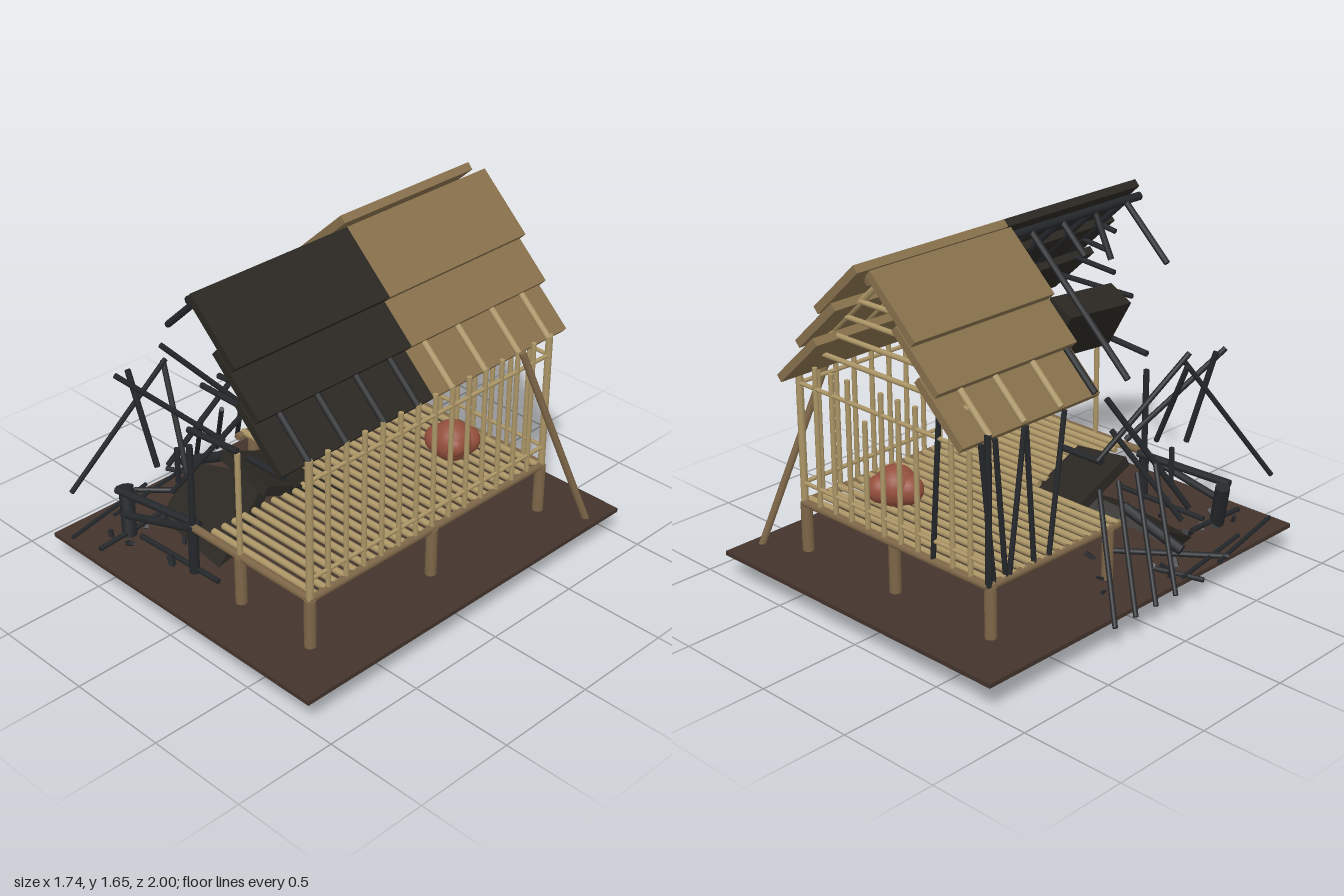
import * as THREE from 'three';

const mat = (color) => new THREE.MeshStandardMaterial({ color });
const M = {
  bamboo: mat(0xab9566), wood: mat(0x7d6648), thatch: mat(0x87704c), soil: mat(0x43342d),
  char: mat(0x24272a), burntThatch: mat(0x2a2722), clay: mat(0x95503d),
};
const UP = new THREE.Vector3(0, 1, 0);

export function createModel() {
  const root = new THREE.Group();
  const group = (name) => {
    const g = new THREE.Group();
    g.name = name;
    root.add(g);
    return g;
  };
  // Round pole between two points
  const pole = (parent, name, a, b, r, material) => {
    const p = new THREE.Vector3(...a), q = new THREE.Vector3(...b), d = q.clone().sub(p);
    const m = new THREE.Mesh(new THREE.CylinderGeometry(r, r, d.length(), 10), material);
    m.name = name;
    m.position.copy(p).add(q).multiplyScalar(0.5);
    m.quaternion.setFromUnitVectors(UP, d.normalize());
    parent.add(m);
  };
  const box = (parent, name, size, pos, rot, material) => {
    const m = new THREE.Mesh(new THREE.BoxGeometry(...size), material);
    m.name = name;
    m.position.set(...pos);
    m.rotation.set(...rot);
    parent.add(m);
  };
  const XR = 0.61, XL = -0.55, ZF = 0.74, ZB = -0.74;

  box(root, 'ground', [1.68, 0.02, 2], [0.03, 0.13, 0], [0, 0, 0], M.soil);

  // Stilts and floor frame
  const stilts = group('stilts');
  for (const [x, z] of [[XR, ZF], [XR, 0], [XR, -0.73], [0.18, ZF], [0.03, -0.73], [XL, -0.73], [XL, 0]])
    pole(stilts, 'stilt', [x, 0.12, z], [x, 0.38, z], 0.027, M.wood);
  const floor = group('floor');
  pole(floor, 'rightBeam', [XR, 0.38, ZB], [XR, 0.38, 0.75], 0.019, M.wood);
  pole(floor, 'leftBeam', [XL, 0.38, ZB], [XL, 0.38, 0.1], 0.019, M.wood);
  pole(floor, 'backBeam', [XL, 0.38, ZB], [XR, 0.38, ZB], 0.019, M.wood);
  pole(floor, 'frontBeam', [-0.13, 0.38, ZF], [XR, 0.38, ZF], 0.019, M.wood);
  // Slats, burnt short at the front left
  for (let i = 0; i < 25; i++) {
    const z = -0.71 + i * 0.059;
    pole(floor, 'slat', [z < 0.11 ? -0.56 : -0.03, 0.39, z], [XR, 0.39, z], 0.016, M.bamboo);
  }

  // Bamboo walls
  const right = group('rightWall');
  for (let i = 0; i < 15; i++) {
    const z = ZF - i * 0.1055, r = i % 14 ? 0.012 : 0.017;
    pole(right, 'upright', [XR, 0.38, z], [XR, 1.06, z], r, M.bamboo);
  }
  const back = group('backWall');
  for (let i = 1; i < 12; i++) {
    const x = XL + i * 0.105;
    if (i === 3) pole(back, 'charredUpright', [-0.22, 0.38, ZB], [-0.27, 1.06, ZB], 0.012, M.char);
    else pole(back, 'upright', [x, 0.38, ZB], [x, i === 7 ? 0.9 : 1.06, ZB], 0.012, M.bamboo);
  }
  for (const y of [0.48, 0.96]) {
    pole(right, 'rail', [XR, y, ZB], [XR, y, ZF], 0.01, M.bamboo);
    pole(back, 'rail', [XL, y, ZB], [XR, y, ZB], 0.01, M.bamboo);
  }
  const left = group('charredLeftWall');
  for (const [z0, z1] of [[-0.71, -0.78], [-0.64, -0.7], [-0.62, -0.53], [-0.47, -0.52], [-0.38, -0.29]])
    pole(left, 'leaningUpright', [XL, 0.38, z0], [XL, 1.03, z1], 0.012, M.char);
  pole(left, 'cornerPost', [XL, 0.38, ZB], [XL, 1.06, ZB], 0.015, M.char);

  // Doorway
  const door = group('doorway');
  pole(door, 'doorPost', [0.18, 0.38, ZF], [0.18, 0.9, ZF], 0.013, M.bamboo);
  pole(door, 'charredDoorPost', [-0.13, 0.38, ZF], [-0.13, 0.8, ZF], 0.015, M.char);
  pole(door, 'charredStilt', [-0.13, 0.13, ZF], [-0.13, 0.39, ZF], 0.024, M.char);
  pole(door, 'charredLintel', [-0.13, 0.88, ZF], [0.18, 0.91, ZF], 0.015, M.char);

  // Roof frame
  const frame = group('roofFrame');
  const RX = 0.025, RY = 1.59;
  pole(frame, 'ridgePole', [RX, RY, -0.84], [RX, RY, 0], 0.02, M.wood);
  pole(frame, 'charredRidgePole', [RX, RY, 0], [RX, RY, 0.84], 0.02, M.char);
  const along = (t, z) => [RX + (XL - RX) * t, RY + (1.05 - RY) * t, z];
  [-0.73, -0.53, -0.31, -0.1, 0.11, 0.31, 0.53, 0.74].forEach((z, i) => {
    pole(frame, 'rightRafter', [RX, RY, z], [XR, 1.05, z], 0.015, i < 4 ? M.bamboo : M.char);
    if (i < 5) pole(frame, 'leftRafter', along(0, z), along(1, z), 0.015, i < 3 ? M.bamboo : M.char);
    else pole(frame, 'brokenRafter', along(0, z), i === 6 ? [-0.08, 1.38, z] : along(0.25 + 0.1 * (i - 5), z), 0.015, M.char);
  });
  // Gable slats
  for (const y of [1.14, 1.25, 1.35, 1.44, 1.53]) {
    const w = (RY - y) * 1.06;
    pole(frame, 'gableSlat', [RX - w, y, ZB], [RX + w, y, ZB], 0.012, M.bamboo);
  }
  pole(frame, 'charredTie', [-0.03, 1.14, ZF], [0.5, 1.14, ZF], 0.013, M.char);
  for (const [x0, x1, y] of [[0.08, 0.32, 1.24], [0.13, 0.29, 1.34], [0.08, 0.2, 1.44]])
    pole(frame, 'charredGableStub', [x0, y - 0.01, ZF], [x1, y + 0.01, ZF], 0.013, M.char);

  // Stepped thatch panels, three per slope
  const roof = group('thatchRoof');
  const slope = 0.75;
  for (const [dx, y, len] of [[0.167, 1.52, 0.35], [0.305, 1.33, 0.33], [0.435, 1.14, 0.34]]) {
    box(roof, 'rightThatch', [len, 0.038, 0.87], [RX + dx, y, -0.435], [0, 0, -slope], M.thatch);
    box(roof, 'burntRightThatch', [len, 0.038, 0.87], [RX + dx, y, 0.435], [0, 0, -slope], M.burntThatch);
    box(roof, 'leftThatch', [len, 0.038, 0.81], [0.03 - dx, y, -0.465], [0, 0, slope], M.thatch);
  }

  // Leaning prop
  pole(root, 'prop', [0.63, 1.06, -0.53], [0.815, 0.12, -0.84], 0.017, M.wood);

  // Fallen burnt panels
  const debris = group('burntDebris');
  box(debris, 'hangingPanel', [0.14, 0.25, 0.4], [-0.13, 1.165, 0.27], [0.08, 0, 0.47], M.burntThatch);
  box(debris, 'fallenFloorPanel', [0.31, 0.05, 0.52], [-0.17, 0.385, 0.16], [-0.4, 0, -0.15], M.burntThatch);
  box(debris, 'groundPanel', [0.46, 0.06, 0.5], [-0.36, 0.19, 0.46], [0.52, 0.25, 0.08], M.burntThatch);

  // Charred sticks: start, end, radius
  const sticks = [
    [[-0.54, 1.05, 0.54], [-0.36, 0.6, 0.14], 0.013],
    [[-0.54, 1.0, 0.8], [-0.3, 0.6, 0.4], 0.013],
    [[-0.39, 0.9, 0.16], [-0.63, 0.35, 0.46], 0.014],
    [[-0.5, 1.0, 0.55], [-0.72, 0.38, 0.95], 0.012],
    [[-0.54, 1.0, 0.73], [-0.42, 0.54, 0.69], 0.014],
    [[-0.53, 0.98, 0.54], [-0.3, 0.53, 0.62], 0.013],
    [[-0.3, 0.68, 0.3], [-0.56, 0.25, 0.5], 0.013],
    [[-0.62, 0.36, 0.72], [-0.56, 0.13, 0.76], 0.035],
    [[-0.62, 0.36, 0.77], [-0.12, 0.38, 0.71], 0.02],
    [[-0.55, 0.26, 0.78], [-0.13, 0.37, 0.74], 0.018],
    [[-0.5, 0.15, 0.74], [0.02, 0.16, 0.73], 0.013],
    [[-0.74, 0.24, 0.28], [-0.45, 0.38, 0.22], 0.025],
    [[-0.82, 0.15, 0.45], [-0.71, 0.15, 0.97], 0.01],
    [[-0.8, 0.15, 0.22], [-0.72, 0.15, 0.72], 0.01],
    [[-0.82, 0.15, 0.52], [-0.4, 0.17, 0.15], 0.014],
    [[-0.55, 0.15, 0.94], [-0.56, 0.17, 0.58], 0.012],
    [[-0.24, 0.5, 0.31], [0.0, 0.5, 0.31], 0.016],
    [[-0.45, 0.38, 0.55], [-0.45, 0.56, 0.55], 0.013],
    [[-0.87, 0.14, 0.28], [-0.66, 0.15, 0.2], 0.012],
  ];
  for (const [a, b, r] of sticks) pole(debris, 'charredStick', a, b, r, M.char);
  // Row of wall sticks fallen outward
  for (let i = 0; i < 4; i++)
    pole(debris, 'fallenUpright', [-0.86, 0.13, -0.3 + i * 0.133], [-0.54, 0.58, -0.05 + i * 0.125], 0.012, M.char);
  // Small scattered embers, seeded
  let seed = 7;
  const rnd = () => (seed = (seed * 16807) % 2147483647) / 2147483647;
  for (let i = 0; i < 22; i++) {
    const s = 0.012 + rnd() * 0.015;
    box(debris, 'emberChunk', [s * 3, s, s], [-0.78 + rnd() * 0.6, 0.145, -0.2 + rnd() * 1.1],
      [rnd(), rnd() * 3, rnd()], M.char);
  }

  // Clay pots inside
  const pots = group('clayPots');
  for (const [x, y, z, r] of [[0.285, 0.482, -0.48, 0.098], [0.225, 0.475, -0.46, 0.07], [0.32, 0.475, -0.54, 0.066], [0.33, 0.485, -0.45, 0.055]]) {
    const m = new THREE.Mesh(new THREE.SphereGeometry(r, 20, 14), M.clay);
    m.name = 'pot';
    m.position.set(x, y, z);
    pots.add(m);
  }
  return root;
}
